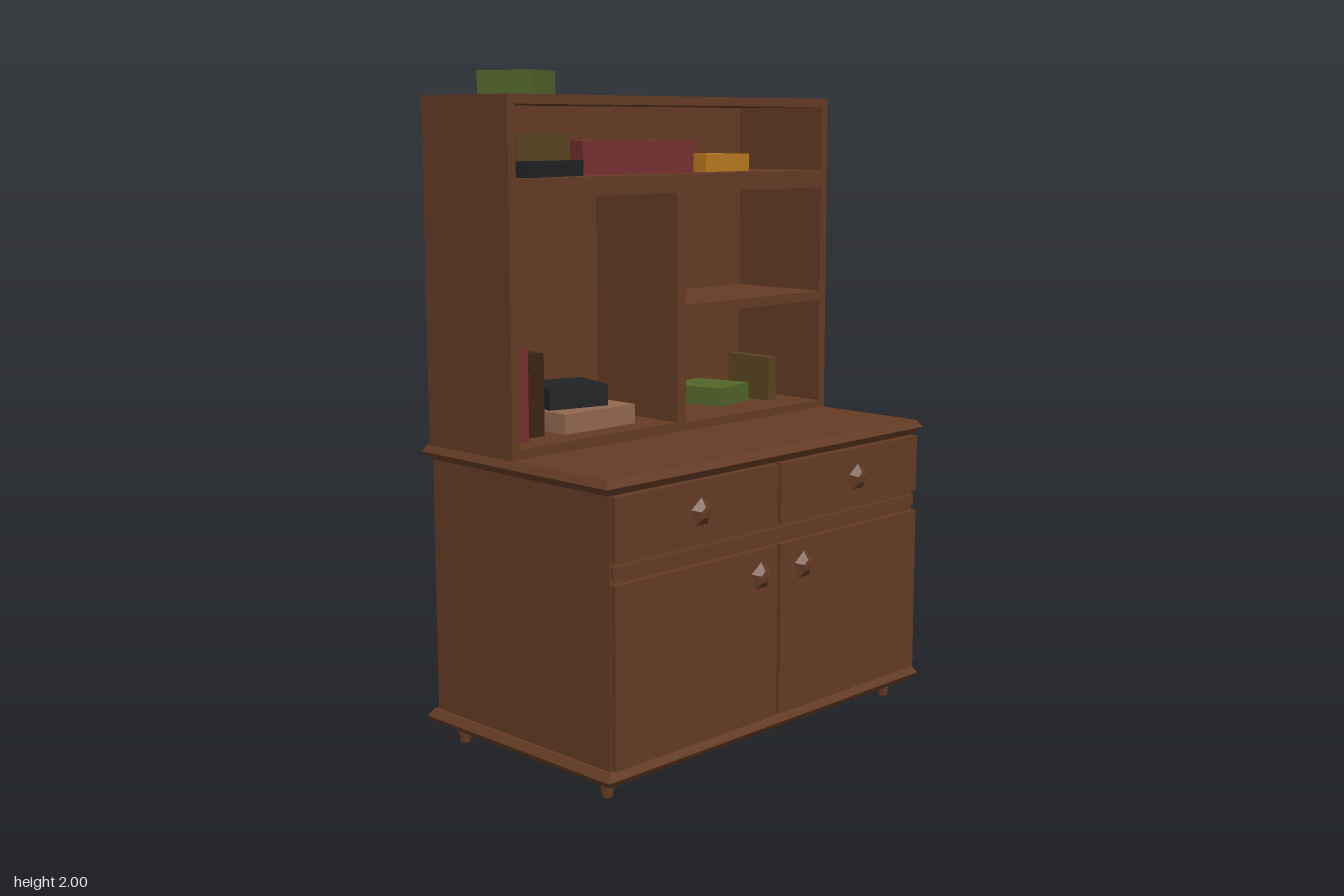
import * as THREE from 'three';

const paint = (color) => new THREE.MeshStandardMaterial({ color, flatShading: true });
const wood = paint(0x653b25);
const green = paint(0x52642a), red = paint(0x752e2e), olive = paint(0x5a4420), black = paint(0x202224);
const orange = paint(0xb87820), white = paint(0xa8a8a8), tan = paint(0x936850), darkBrown = paint(0x3d2413);

export function createModel() {
  const model = new THREE.Group();
  model.name = 'hutchCabinet';

  const add = (name, geometry, material = wood) => {
    const mesh = new THREE.Mesh(geometry, material);
    mesh.name = name;
    model.add(mesh);
    return mesh;
  };
  // Box given by its limits on each axis
  const block = (name, x0, x1, y0, y1, z0, z1) =>
    add(name, new THREE.BoxGeometry(x1 - x0, y1 - y0, z1 - z0))
      .position.set((x0 + x1) / 2, (y0 + y1) / 2, (z0 + z1) / 2);

  // Moulded slab: widest at mid height, drawn in above and below
  const slab = (name, y0, y1) => {
    const w = 1.38, d = 0.803, h = y1 - y0;
    const g = new THREE.BoxGeometry(w, h, d, 1, 2, 1);
    const p = g.attributes.position;
    for (let i = 0; i < p.count; i++) {
      const y = p.getY(i);
      const inset = y > 0.001 ? 0.014 : y < -0.001 ? 0.02 : 0;
      p.setX(i, p.getX(i) - Math.sign(p.getX(i)) * inset);
      p.setZ(i, p.getZ(i) - Math.sign(p.getZ(i)) * inset);
    }
    add(name, g).position.set(0, (y0 + y1) / 2, -0.016);
  };
  slab('plinth', 0.055, 0.1);
  slab('counterTop', 0.87, 0.915);

  // Lower cabinet with its drawers, doors, rail and knobs
  block('cabinetBody', -0.665, 0.665, 0.1, 0.87, -0.395, 0.365);
  block('rail', -0.66, 0.66, 0.643, 0.675, 0.36, 0.376);
  const knobShape = [[0, 0], [0.022, 0], [0.043, 0.016], [0.018, 0.033], [0, 0.036]]
    .map(([r, h]) => new THREE.Vector2(r, h));
  for (const side of [-1, 1]) {
    const [a, b] = side < 0 ? [-0.662, -0.008] : [0.008, 0.662];
    block('drawer', a, b, 0.69, 0.868, 0.36, 0.385);
    block('door', a, b, 0.105, 0.625, 0.36, 0.385);
    for (const [name, x, y] of [['drawerKnob', 0.345, 0.78], ['doorKnob', 0.095, 0.55]]) {
      const g = new THREE.LatheGeometry(knobShape, 5).rotateY(Math.PI).rotateX(Math.PI / 2);
      add(name, g).position.set(side * x, y, 0.384);
    }
    for (const z of [0.3, -0.33])
      add('foot', new THREE.CylinderGeometry(0.025, 0.016, 0.06, 8)).position.set(side * 0.618, 0.03, z);
  }

  // Upper shelf unit: a slab with four openings, closed by a back panel
  const rect = (path, x0, x1, y0, y1) => {
    path.moveTo(x0, y0);
    path.lineTo(x1, y0);
    path.lineTo(x1, y1);
    path.lineTo(x0, y1);
    path.closePath();
    return path;
  };
  const frame = rect(new THREE.Shape(), -0.677, 0.677, 0.91, 1.93);
  const openings = [
    [-0.65, 0.648, 1.7, 1.903],
    [-0.65, -0.02, 0.945, 1.645],
    [0.016, 0.648, 1.305, 1.645],
    [0.016, 0.648, 0.94, 1.275],
  ];
  for (const o of openings) frame.holes.push(rect(new THREE.Path(), ...o));
  add('shelfUnit', new THREE.ExtrudeGeometry(frame, { depth: 0.36, bevelEnabled: false }))
    .position.z = -0.375;
  block('backPanel', -0.677, 0.677, 0.91, 1.93, -0.395, -0.375);

  // Books: colour, width, height, depth, x, base height, z, turn in degrees
  const books = [
    [green, 0.141, 0.07, 0.18, -0.468, 1.93, -0.223, 23],
    [black, 0.255, 0.045, 0.16, -0.475, 1.7, -0.138, 13],
    [olive, 0.233, 0.075, 0.135, -0.466, 1.745, -0.185, 9],
    [red, 0.415, 0.1, 0.2, -0.078, 1.7, -0.205, -7],
    [orange, 0.2, 0.055, 0.15, 0.318, 1.7, -0.2, 0],
    [red, 0.064, 0.27, 0.25, -0.588, 0.945, -0.21, 0],
    [darkBrown, 0.058, 0.245, 0.2, -0.487, 0.945, -0.23, 0],
    [tan, 0.285, 0.06, 0.17, -0.262, 0.945, -0.185, 0],
    [black, 0.2, 0.065, 0.18, -0.27, 1.005, -0.25, -14],
    [white, 0.047, 0.235, 0.24, 0.093, 1.305, -0.223, -11],
    [black, 0.066, 0.225, 0.21, 0.082, 0.94, -0.225, 6],
    [green, 0.175, 0.06, 0.2, 0.38, 0.94, -0.262, 12],
    [olive, 0.036, 0.145, 0.18, 0.538, 0.94, -0.215, 0],
  ];
  for (const [material, w, h, d, x, y, z, turn] of books) {
    const book = add('book', new THREE.BoxGeometry(w, h, d), material);
    book.position.set(x, y + h / 2, z);
    book.rotation.y = THREE.MathUtils.degToRad(turn);
  }
  return model;
}
